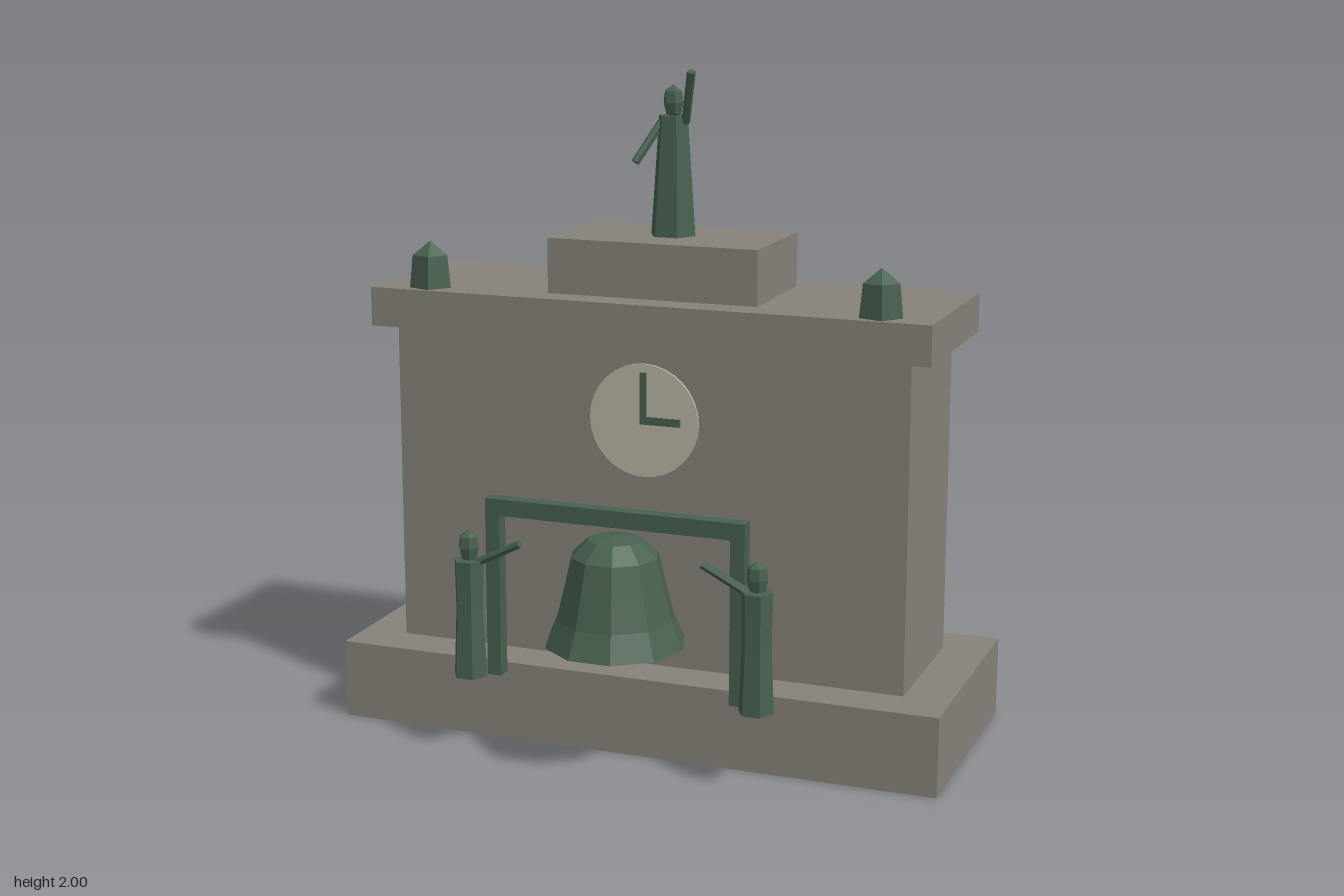
import * as THREE from 'three';

const stone = new THREE.MeshStandardMaterial({ name: 'stone', color: 0x87837a, side: THREE.DoubleSide });
const bronze = new THREE.MeshStandardMaterial({ name: 'bronze', color: 0x48614f, flatShading: true, side: THREE.DoubleSide });
const ivory = new THREE.MeshStandardMaterial({ name: 'ivory', color: 0xb9b6a2 });

function add(parent, name, geometry, material) {
  const mesh = new THREE.Mesh(geometry, material);
  mesh.name = name;
  parent.add(mesh);
  return mesh;
}

// Box given by its limits; hollow ones have no underside
function block(parent, name, [x0, x1], [y0, y1], [z0, z1], material, hollow = false) {
  const g = new THREE.BoxGeometry(x1 - x0, y1 - y0, z1 - z0);
  g.translate((x0 + x1) / 2, (y0 + y1) / 2, (z0 + z1) / 2);
  if (hollow) {
    g.setIndex(Array.from(g.index.array).filter((_, i) => i < 18 || i >= 24));
    g.clearGroups();
  }
  return add(parent, name, g, material);
}

// Faceted turned shape with a corner on the +x side
function turned(parent, name, profile, sides) {
  const g = new THREE.LatheGeometry(profile.map(([r, y]) => new THREE.Vector2(r, y)), sides);
  g.rotateY(Math.PI / 2);
  return add(parent, name, g, bronze);
}

// Six-sided rod between two points
function rod(parent, name, from, to, radius) {
  const a = new THREE.Vector3(...from), b = new THREE.Vector3(...to);
  const dir = b.clone().sub(a);
  const mesh = add(parent, name, new THREE.CylinderGeometry(radius, radius, dir.length(), 6), bronze);
  mesh.position.copy(a).add(b).multiplyScalar(0.5);
  mesh.quaternion.setFromUnitVectors(new THREE.Vector3(0, 1, 0), dir.normalize());
}

// Robed figure with a small faceted head
function figure(parent, name, x, y, z, robe, headRadius, headHeight) {
  const person = new THREE.Group();
  person.name = name;
  person.position.set(x, y, z);
  parent.add(person);
  const top = robe[robe.length - 1][1];
  turned(person, 'robe', [[0, 0], ...robe, [0, top]], 6);
  turned(person, 'head', [[0, 0], [0.75, 0.1], [1, 0.45], [0.87, 0.8], [0, 1]]
    .map(([r, h]) => [r * headRadius, top - 0.005 + h * headHeight]), 6);
  return person;
}

export function createModel() {
  const model = new THREE.Group();
  model.name = 'clockMonument';

  // Masonry
  block(model, 'base', [-0.94, 0.94], [0, 0.24], [-0.52, 0.228], stone, true);
  block(model, 'wall', [-0.8, 0.8], [0.24, 1.222], [-0.377, 0.09], stone, true);
  block(model, 'cornice', [-0.867, 0.867], [1.222, 1.34], [-0.428, 0.135], stone, true);
  block(model, 'pedestal', [-0.327, 0.327], [1.34, 1.505], [-0.335, 0.04], stone, true);

  // Clock
  const dial = add(model, 'clockFace', new THREE.CylinderGeometry(0.17, 0.17, 0.008, 32), ivory);
  dial.rotation.x = Math.PI / 2;
  dial.position.set(0, 0.99, 0.094);
  block(model, 'minuteHand', [-0.01, 0.01], [0.98, 1.135], [0.098, 0.104], bronze);
  block(model, 'hourHand', [0.01, 0.115], [0.98, 1.003], [0.098, 0.104], bronze);

  // Bell and its frame
  const bell = turned(model, 'bell',
    [[0.208, 0.38], [0.175, 0.46], [0.147, 0.57], [0.13, 0.645], [0.08, 0.692], [0, 0.705]], 10);
  bell.position.z = 0.325;
  block(model, 'frameBeam', [-0.4, 0.4], [0.73, 0.78], [0.302, 0.345], bronze);

  for (const s of [-1, 1]) {
    const post = block(model, 'framePost', [-0.022, 0.022], [0.24, 0.73], [0.302, 0.345], bronze);
    post.position.x = s * 0.378;

    // Bell strikers
    const striker = figure(model, 'bellStriker', s * 0.445, 0.24, 0.365,
      [[0.053, 0], [0.044, 0.2], [0.047, 0.355]], 0.032, 0.095);
    rod(striker, 'strikingArm', [-s * 0.015, 0.342, 0], [-s * 0.163, 0.418, 0], 0.013);

    // Cornice finials
    const finial = turned(model, 'finial', [[0, 0], [0.065, 0], [0.055, 0.098], [0, 0.14]], 5);
    finial.position.set(s * 0.7, 1.34, 0.063);
  }

  // Statue on the pedestal
  const statue = figure(model, 'statue', 0, 1.505, -0.147,
    [[0.07, 0], [0.045, 0.355]], 0.031, 0.095);
  rod(statue, 'raisedArm', [0.04, 0.335, 0.005], [0.082, 0.49, 0.072], 0.013);
  rod(statue, 'loweredArm', [-0.035, 0.335, 0.005], [-0.093, 0.22, 0.07], 0.013);

  return model;
}
